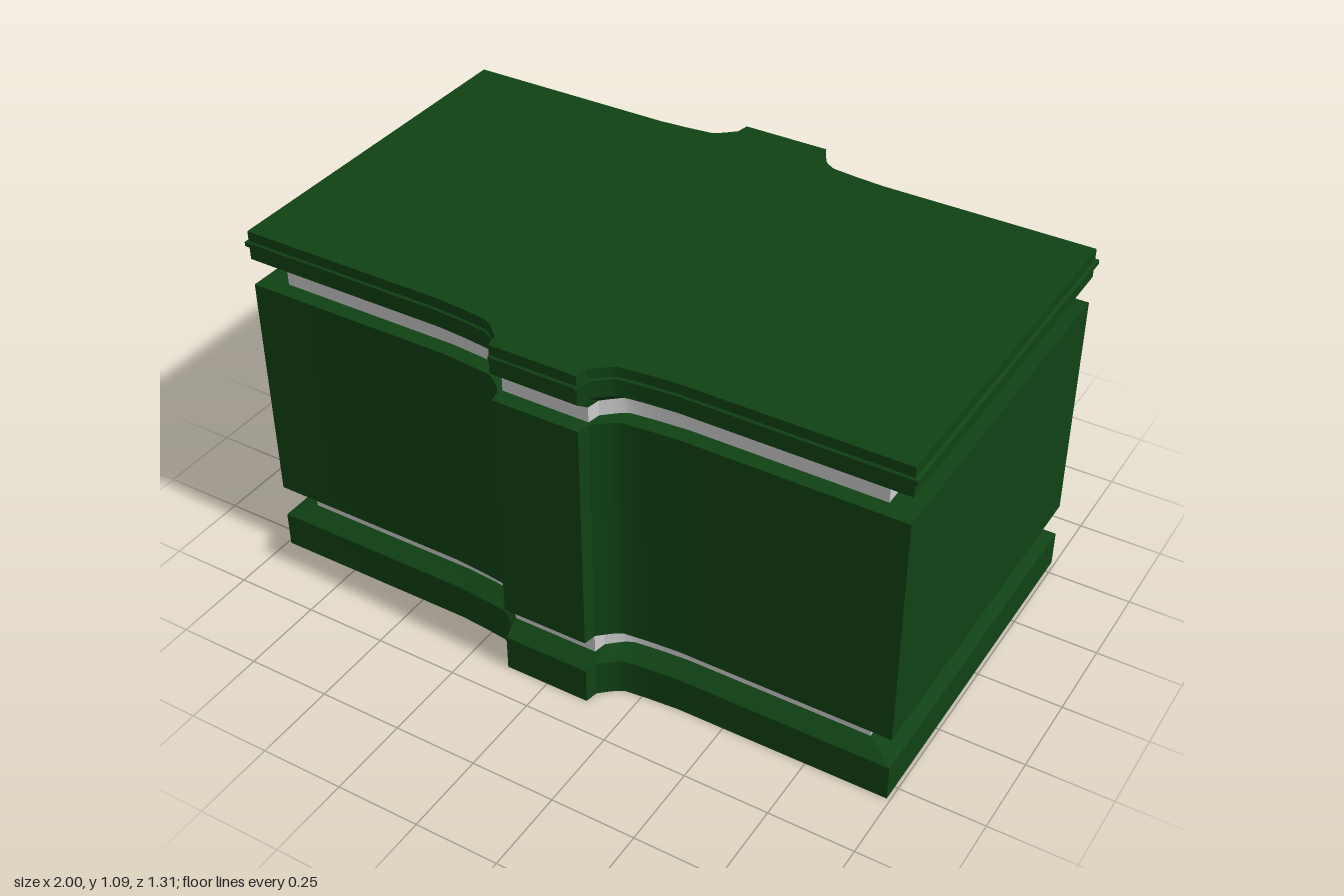
import * as THREE from 'three';
import { toCreasedNormals } from 'three/addons/utils/BufferGeometryUtils.js';

const green = new THREE.MeshStandardMaterial({ color: 0x104214 });
const dark = new THREE.MeshStandardMaterial({ color: 0x040f05 });
const grey = new THREE.MeshStandardMaterial({ color: 0xcccccc });

// Half of one long edge, from the central boss out to the corner: [x, z]
const EDGE = [[0.13, 0.65], [0.137, 0.612], [0.155, 0.595], [0.178, 0.575], [0.2, 0.563],
  [0.27, 0.555], [0.36, 0.548], [0.99, 0.547]];
// The same edge on the back of the body, with a pocket for the perforated panel
const POCKET = 0.04;
const BACK_EDGE = [...EDGE.slice(0, -1), [0.44, 0.547], [0.52, 0.547], [0.6, 0.547],
  [0.6, 0.547 - POCKET], [0.9, 0.547 - POCKET], [0.9, 0.547], [0.99, 0.547]];

// Closed outline at one level; inset 1 reaches the core, groove cuts into the back
function ring(y, inset, backEdge, groove) {
  const point = (sx, sz) => ([x, z]) => {
    const cut = sz < 0 && x > 0.13 ? groove * Math.max(0, 1 - (x - 0.13) / 0.39) : 0;
    const px = x > 0.95 ? x - 0.08 * inset : x;
    return new THREE.Vector3(sx * px, y, sz * (z - 0.048 * inset - cut));
  };
  return [
    ...[...EDGE].reverse().map(point(1, 1)), ...EDGE.map(point(-1, 1)),
    ...[...backEdge].reverse().map(point(-1, -1)), ...backEdge.map(point(1, -1)),
  ];
}

// Solid through stacked levels [y, inset, groove]
function loft(name, material, levels, backEdge = EDGE) {
  const rings = levels.map(([y, inset, groove = 0]) => ring(y, inset, backEdge, groove));
  const pts = [];
  const n = rings[0].length;
  const last = rings.length - 1;
  const bottom = new THREE.Vector3(0, levels[0][0], 0);
  const top = new THREE.Vector3(0, levels[last][0], 0);
  for (let i = 0; i < n; i++) {
    const j = (i + 1) % n;
    for (let k = 0; k < last; k++) {
      const a = rings[k], b = rings[k + 1];
      pts.push(a[i], b[i], b[j], a[i], b[j], a[j]);
    }
    pts.push(bottom, rings[0][i], rings[0][j], top, rings[last][j], rings[last][i]);
  }
  const geometry = new THREE.BufferGeometry().setFromPoints(pts);
  const mesh = new THREE.Mesh(toCreasedNormals(geometry, 0.5), material);
  mesh.name = name;
  return mesh;
}

// Panel with small square openings, filling a pocket on the back
function perforatedPanel(side) {
  const group = new THREE.Group();
  group.name = side > 0 ? 'leftPerforatedPanel' : 'rightPerforatedPanel';
  const rect = (Type, x0, x1, y0, y1) => new Type([[x0, y0], [x1, y0], [x1, y1], [x0, y1]]
    .map(([x, y]) => new THREE.Vector2(side * x, y)));
  const shape = rect(THREE.Shape, 0.6, 0.9, 0.213, 0.92);
  const holes = [[0.78, 0.82], [0.69, 0.765], [0.735, 0.67], [0.69, 0.605],
    [0.78, 0.575], [0.69, 0.46], [0.735, 0.36]];
  for (const [x, y] of holes) {
    shape.holes.push(rect(THREE.Path, x - 0.022, x + 0.022, y - 0.026, y + 0.026));
  }
  const panel = new THREE.Mesh(
    new THREE.ExtrudeGeometry(shape, { depth: POCKET, bevelEnabled: false }), green);
  panel.name = 'panel';
  panel.position.z = -0.547;
  const backing = new THREE.Mesh(new THREE.PlaneGeometry(0.29, 0.69), dark);
  backing.name = 'holeBacking';
  backing.rotation.y = Math.PI;
  backing.position.set(side * 0.75, 0.566, -0.547 + POCKET - 0.003);
  group.add(panel, backing);
  return group;
}

export function createModel() {
  const model = new THREE.Group();
  model.name = 'case';

  // Base slab with a bevelled top
  model.add(loft('base', green, [[0, 0], [0.11, 0], [0.145, 1]]));

  // Pale core, seen in the two gaps
  model.add(loft('lowerCore', grey, [[0.14, 1], [0.22, 1]]));
  model.add(loft('upperCore', grey, [[0.91, 1], [0.97, 1]]));

  // Body, with rows of tapering grooves beside the rear boss
  const bodyLevels = [[0.213, 0]];
  for (let i = 0; i < 7; i++) {
    const y = 0.288 + i * 0.0925;
    bodyLevels.push([y - 0.024, 0], [y - 0.015, 0, 0.05], [y + 0.015, 0, 0.05], [y + 0.024, 0]);
  }
  bodyLevels.push([0.92, 0]);
  model.add(loft('body', green, bodyLevels, BACK_EDGE));
  for (const side of [1, -1]) model.add(perforatedPanel(side));

  // Lid with a bevelled underside and a thin raised lip
  model.add(loft('lid', green, [[0.966, 1], [1.002, 0], [1.04, 0], [1.043, -0.12],
    [1.056, -0.12], [1.06, 0], [1.09, 0]]));
  return model;
}
